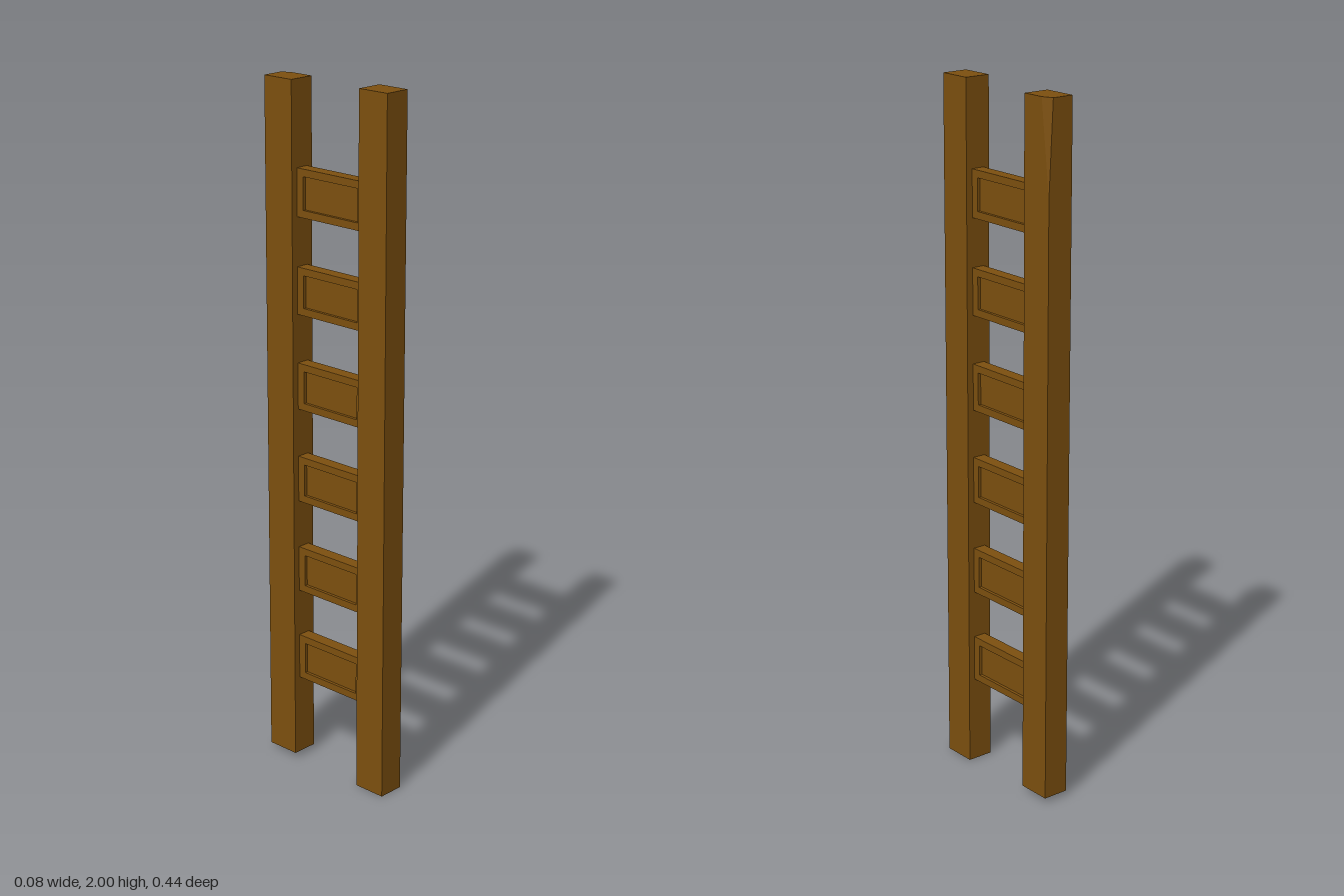
import * as THREE from 'three';
import { ConvexGeometry } from 'three/addons/geometries/ConvexGeometry.js';

const wood = new THREE.MeshStandardMaterial({ color: 0x7d500f, flatShading: true });

function addMesh(parent, name, geometry, x = 0, y = 0, z = 0) {
  const mesh = new THREE.Mesh(geometry, wood);
  mesh.name = name;
  mesh.position.set(x, y, z);
  parent.add(mesh);
  return mesh;
}

// Rectangle outline centred on the origin
function rectangle(PathType, w, h) {
  const p = new PathType();
  p.moveTo(-w / 2, -h / 2);
  p.lineTo(w / 2, -h / 2);
  p.lineTo(w / 2, h / 2);
  p.lineTo(-w / 2, h / 2);
  p.closePath();
  return p;
}

export function createModel() {
  const ladder = new THREE.Group();
  ladder.name = 'ladder';
  const X = 0.0385;

  // Front post: plain square beam
  addMesh(ladder, 'frontPost', new THREE.BoxGeometry(2 * X, 2, 0.098), 0, 1, 0.171);

  // Back post: slightly shorter, with a long chip off its outer top corner
  const zIn = -0.121, zOut = -0.221, y0 = 0.015, y1 = 1.992;
  const corners = [
    [-X, y0, zIn], [X, y0, zIn], [X, y0, zOut], [-X, y0, zOut],
    [-X, y1, zIn], [X, y1, zIn], [-X, y1, zOut],
    [X, y1, -0.19], [0.026, y1, zOut], [X, 1.73, zOut],
  ].map((c) => new THREE.Vector3(...c));
  addMesh(ladder, 'backPost', new ConvexGeometry(corners));

  // Rungs: a frame around a panel sunk on both faces
  const length = 0.244, height = 0.134, thick = 0.038;
  const outline = rectangle(THREE.Shape, length, height);
  outline.holes.push(rectangle(THREE.Path, 0.198, 0.092));
  const frame = new THREE.ExtrudeGeometry(outline, { depth: thick, bevelEnabled: false });
  frame.translate(0, 0, -thick / 2).rotateY(Math.PI / 2);
  const panel = new THREE.BoxGeometry(0.02, 0.092, 0.198);

  for (let i = 0; i < 6; i++) {
    const rung = new THREE.Group();
    rung.name = `rung${i + 1}`;
    rung.position.set(0, 0.321 + i * 0.273, 0.001);
    addMesh(rung, 'rungFrame', frame);
    addMesh(rung, 'rungPanel', panel);
    ladder.add(rung);
  }
  return ladder;
}
